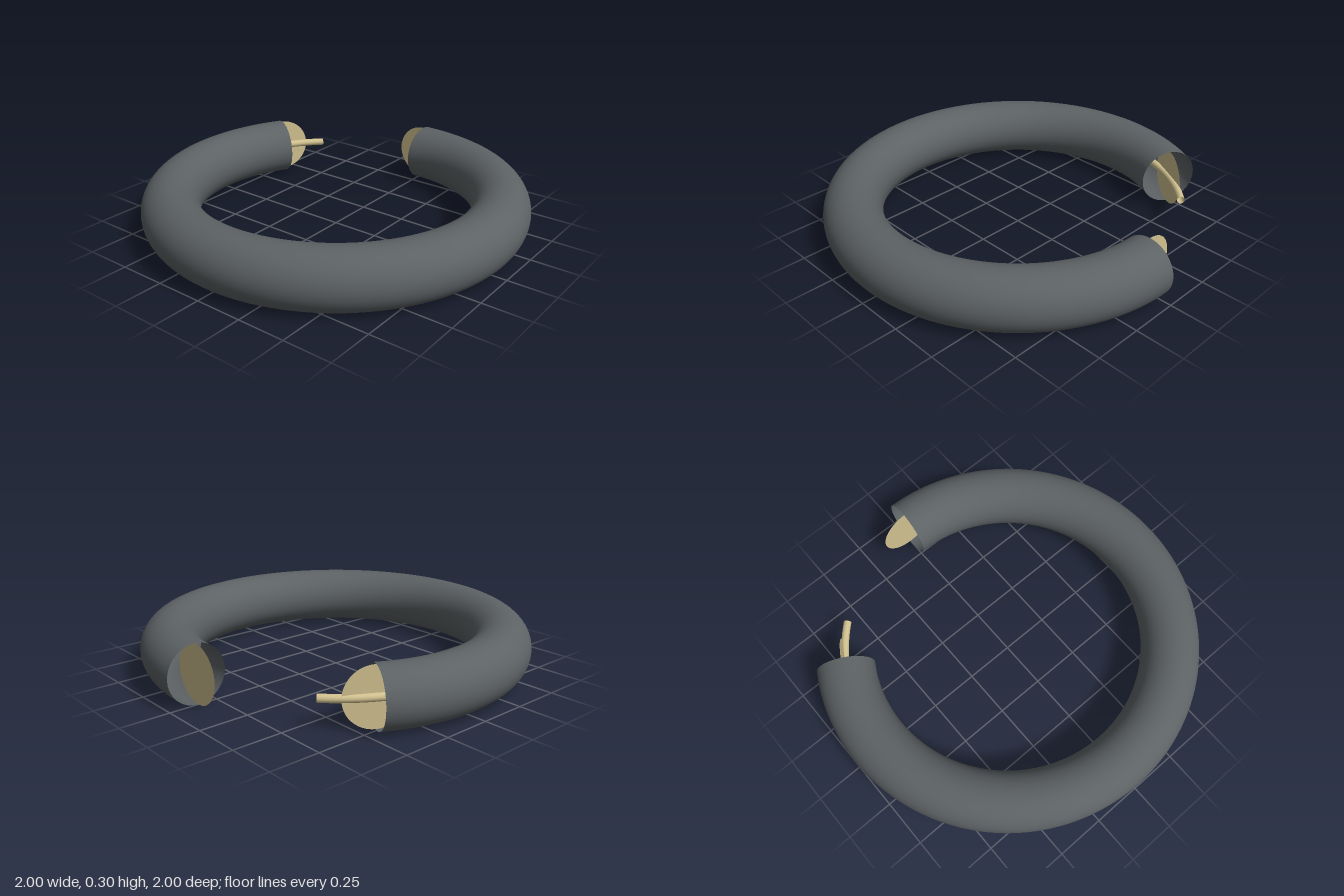
import * as THREE from 'three';

const RING = 0.85;
const TUBE = 0.15;
const rad = THREE.MathUtils.degToRad;

// Point on the ring's centre line; angles run from +x towards -z
const onRing = (deg) => new THREE.Vector3(RING * Math.cos(rad(deg)), TUBE, -RING * Math.sin(rad(deg)));

// Open bent tube following the ring between two angles
function arcTube(name, from, to, radius, points, segments, sides, material) {
  const path = Array.from({ length: points + 1 }, (_, i) => onRing(from + ((to - from) * i) / points));
  const geometry = new THREE.TubeGeometry(new THREE.CatmullRomCurve3(path), segments, radius, sides, false);
  const mesh = new THREE.Mesh(geometry, material);
  mesh.name = name;
  return mesh;
}

// Upright disc at a tube end, its flat side facing outwards from the ring
function endDisc(name, deg, material) {
  const mesh = new THREE.Mesh(new THREE.CircleGeometry(TUBE, 48), material);
  mesh.name = name;
  mesh.position.copy(onRing(deg));
  mesh.rotation.y = rad(90 + deg);
  return mesh;
}

export function createModel() {
  const grey = new THREE.MeshStandardMaterial({ color: 0x5d6265, side: THREE.DoubleSide });
  const tan = new THREE.MeshStandardMaterial({ color: 0xd2c290, side: THREE.DoubleSide });

  const group = new THREE.Group();
  group.name = 'openRing';

  // Hollow ring with a 60 degree gap
  group.add(arcTube('ring', 60.2, 360, TUBE, 64, 256, 48, grey));

  // Discs standing in the two open ends
  group.add(endDisc('frontEndDisc', 0, tan));
  group.add(endDisc('backEndDisc', 60.2, tan));

  // Thin curved pin reaching out of the back end
  group.add(arcTube('pin', 43.2, 76.5, 0.02, 12, 32, 16, tan));

  return group;
}
